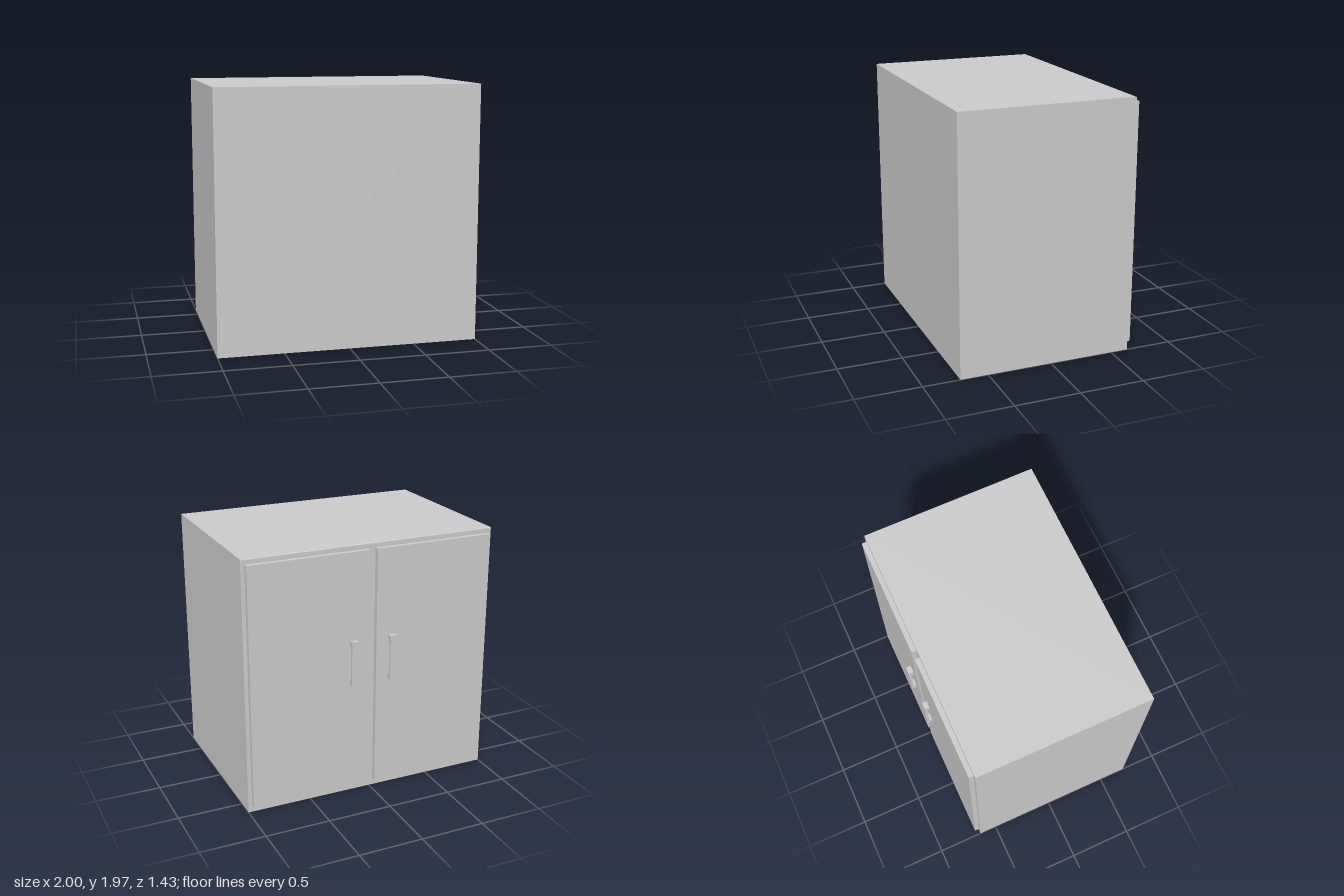
import * as THREE from 'three';

const H = 1.967, BACK = 0.715, FACE = -0.64, DOOR = -0.677;

export function createModel() {
  const model = new THREE.Group();
  model.name = 'cabinet';
  const material = new THREE.MeshStandardMaterial({ color: 0xcccccc });

  // Extrudes a (z, y) outline across a width centred on x
  function sideProfile(name, shape, width, x, parent) {
    const geometry = new THREE.ExtrudeGeometry(shape, { depth: width, bevelEnabled: false, curveSegments: 4 });
    geometry.translate(0, 0, -width / 2).rotateY(-Math.PI / 2);
    const mesh = new THREE.Mesh(geometry, material);
    mesh.name = name;
    mesh.position.x = x;
    parent.add(mesh);
  }

  // Cabinet body, with a slightly eased top edge above the doors
  const ease = 0.01;
  const body = new THREE.Shape();
  body.moveTo(FACE, 0);
  body.lineTo(BACK, 0);
  body.lineTo(BACK, H);
  body.lineTo(FACE + ease, H);
  body.quadraticCurveTo(FACE, H, FACE, H - ease);
  body.closePath();
  sideProfile('body', body, 2, 0, model);

  // Bracket-shaped handle outline, open towards the door
  const handle = new THREE.Shape([
    [DOOR, 0.9], [DOOR, 0.952], [-0.697, 0.952], [-0.697, 1.203],
    [DOOR, 1.203], [DOOR, 1.255], [-0.715, 1.255], [-0.715, 0.9],
  ].map(([z, y]) => new THREE.Vector2(z, y)));

  // A pair of doors with handles beside the middle gap
  for (const side of [-1, 1]) {
    const group = new THREE.Group();
    group.name = side > 0 ? 'leftDoor' : 'rightDoor';
    const panel = new THREE.Mesh(new THREE.BoxGeometry(0.941, 1.873, FACE - DOOR), material);
    panel.name = 'doorPanel';
    panel.position.set(side * 0.5, 0.99, (FACE + DOOR) / 2);
    group.add(panel);
    sideProfile('doorHandle', handle, 0.057, side * 0.158, group);
    model.add(group);
  }
  return model;
}
